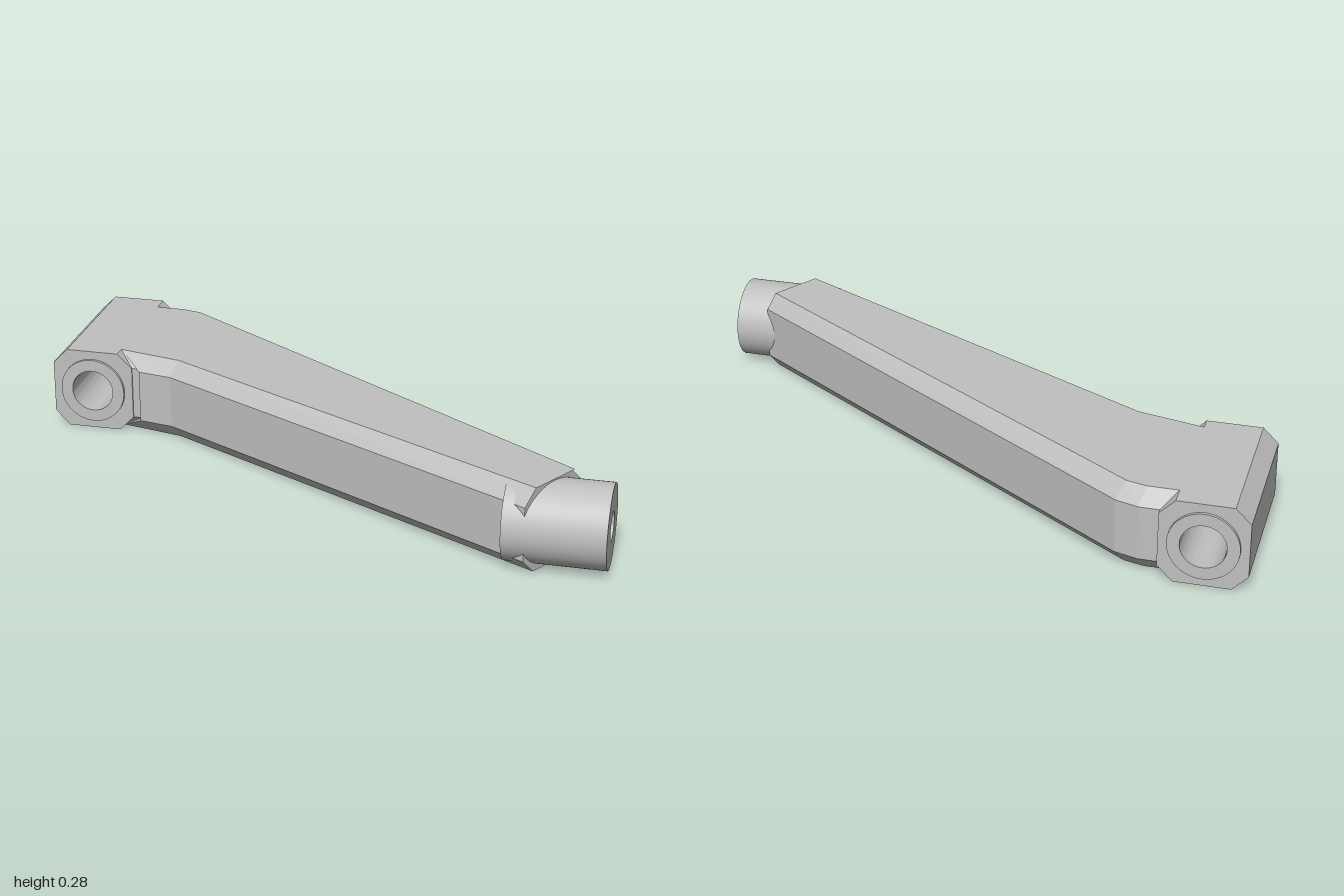
import * as THREE from 'three';
import { toCreasedNormals } from 'three/addons/utils/BufferGeometryUtils.js';

const H = 0.28, LOW = 0.05, HIGH = 0.23, MID = 0.14;

// Octagonal arm lofted through plan stations:
// [flat back x,z, side back x,z, side front x,z, flat front x,z]
function armGeometry() {
  const stations = [
    [-0.77, -0.58, -0.77, -0.625, -0.77, -0.125, -0.77, -0.165],
    [-0.69, -0.58, -0.68, -0.625, -0.69, -0.125, -0.768, -0.165],
    [-0.67, -0.58, -0.655, -0.625, -0.688, -0.1, -0.765, -0.164],
    [-0.605, -0.563, -0.58, -0.602, -0.57, -0.078, -0.55, -0.115],
    [0.87, 0.434, 0.89, 0.4, 0.75, 0.635, 0.776, 0.592],
  ];
  const rings = stations.map(([bx, bz, sx, sz, fx, fz, gx, gz]) => [
    [bx, H, bz], [gx, H, gz], [fx, HIGH, fz], [fx, LOW, fz],
    [gx, 0, gz], [bx, 0, bz], [sx, LOW, sz], [sx, HIGH, sz],
  ]);
  const pos = [];
  for (let i = 0; i < rings.length - 1; i++) {
    for (let j = 0; j < 8; j++) {
      const k = (j + 1) % 8;
      const a = rings[i][j], b = rings[i][k], c = rings[i + 1][k], d = rings[i + 1][j];
      pos.push(...a, ...b, ...c, ...a, ...c, ...d);
    }
  }
  const g = new THREE.BufferGeometry();
  g.setAttribute('position', new THREE.Float32BufferAttribute(pos, 3));
  g.computeVertexNormals();
  return g;
}

// Eight-sided outline with a round hole
function octagon(x0, x1, cut, holeX, holeR) {
  const s = new THREE.Shape([
    [x0 + cut, 0], [x1 - cut, 0], [x1, LOW], [x1, HIGH],
    [x1 - cut, H], [x0 + cut, H], [x0, HIGH], [x0, LOW],
  ].map(p => new THREE.Vector2(...p)));
  s.holes.push(new THREE.Path().absarc(holeX, MID, holeR, 0, Math.PI * 2, true));
  return s;
}

// Turned part from [radius, height] points, with sharp rims
function turned(points) {
  const g = new THREE.LatheGeometry(points.map(p => new THREE.Vector2(...p)), 64);
  return toCreasedNormals(g, 0.6);
}

export function createModel() {
  const group = new THREE.Group();
  const metal = new THREE.MeshStandardMaterial({ color: 0xc0c0c0 });
  metal.name = 'grey metal';
  const add = (name, geometry) => {
    const m = new THREE.Mesh(geometry, metal);
    m.name = name;
    group.add(m);
  };

  add('arm', armGeometry());

  // Slanted end face of the arm, open where the spindle enters
  const end = new THREE.ShapeGeometry(octagon(0, 0.2735, 0.05, 0.14, 0.1), 32);
  end.rotateY(Math.atan2(0.235, 0.14)).translate(0.75, 0, 0.635);
  add('armEnd', end);

  // Pivot block along z
  const block = new THREE.ExtrudeGeometry(octagon(-1, -0.72, 0.05, -0.86, 0.09),
    { depth: 0.525, bevelEnabled: false, curveSegments: 32 });
  block.translate(0, 0, -0.645);
  add('pivotBlock', block);

  // Bushing through the block, standing slightly proud at both ends
  const bushing = turned([
    [0.072, -0.2725], [0.112, -0.2725], [0.112, 0.2725], [0.072, 0.2725], [0.072, -0.2725],
  ]);
  bushing.rotateX(Math.PI / 2).translate(-0.86, MID, -0.3825);
  add('pivotBushing', bushing);

  // Bored spindle along x
  const spindle = turned([
    [0, 0], [0.135, 0], [0.135, 0.32], [0.047, 0.32], [0.047, 0.01], [0, 0.01],
  ]);
  spindle.rotateZ(-Math.PI / 2).translate(0.68, MID, 0.515);
  add('spindle', spindle);

  return group;
}
